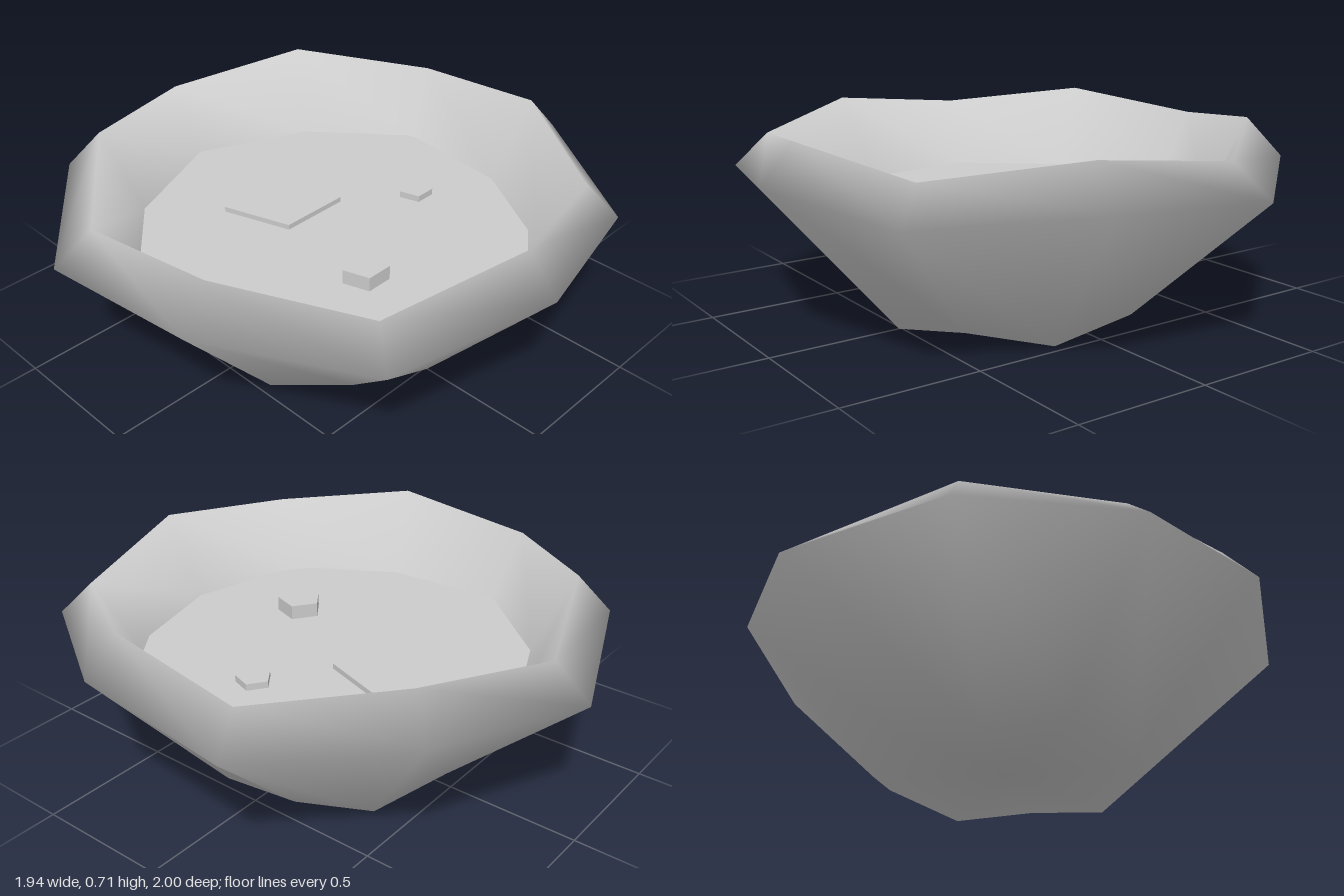
import * as THREE from 'three';

const material = () => new THREE.MeshStandardMaterial({ color: 0xcccccc, side: THREE.DoubleSide });
const FLOOR_Y = 0.4;

// Half rings as [x, z] from front (+z) to back; heights alternate between two values
const RINGS = [
  { y: [0, 0.05], half: [[0, 0.51], [0.29, 0.42], [0.46, 0.17], [0.47, -0.16], [0.29, -0.37], [0, -0.48]] },      // base
  { y: [0.57, 0.53], half: [[0, 1], [0.6, 0.84], [0.93, 0.32], [0.97, -0.3], [0.58, -0.77], [0, -1]] },           // widest edge
  { y: [0.71, 0.65], half: [[0, 0.88], [0.53, 0.74], [0.81, 0.29], [0.84, -0.25], [0.5, -0.67], [0, -0.86]] },    // crest
  { y: [0.4, 0.4], half: [[0, 0.73], [0.44, 0.62], [0.67, 0.24], [0.71, -0.21], [0.42, -0.55], [0, -0.73]] },     // inner wall at the floor
  { y: [0.24, 0.24], half: [[0, 0.56], [0.33, 0.46], [0.52, 0.18], [0.54, -0.17], [0.32, -0.43], [0, -0.56]] },   // inner wall below the floor
];

// Mirror a half ring into a closed ring of ten points
function fullRing({ y, half }) {
  const pts = half.map(([x, z], i) => [x, y[i % 2], z]);
  const mirrored = pts.slice(1, -1).reverse().map(([x, h, z]) => [-x, h, z]);
  return [...pts, ...mirrored];
}

// Thick smooth shell: outside, rolled rim and inside in one surface
function bowlGeometry() {
  const n = 10;
  const positions = RINGS.flatMap(fullRing).flat();
  const center = positions.length / 3;
  positions.push(0, 0.025, 0);
  const index = [];
  for (let r = 0; r < RINGS.length - 1; r++) {
    for (let k = 0; k < n; k++) {
      const a = r * n + k, b = r * n + (k + 1) % n;
      index.push(a, b, a + n, b, b + n, a + n);
    }
  }
  // Underside
  for (let k = 0; k < n; k++) index.push(center, (k + 1) % n, k);
  const geo = new THREE.BufferGeometry();
  geo.setAttribute('position', new THREE.Float32BufferAttribute(positions, 3));
  geo.setIndex(index);
  geo.computeVertexNormals();
  return geo;
}

export function createModel() {
  const group = new THREE.Group();

  const add = (name, geometry) => {
    const mesh = new THREE.Mesh(geometry, material());
    mesh.name = name;
    group.add(mesh);
    return mesh;
  };

  add('bowl', bowlGeometry());

  // Flat surface filling the bowl, its rim buried in the wall
  const floor = add('fillSurface', new THREE.CircleGeometry(0.77, 10));
  floor.rotation.x = -Math.PI / 2;
  floor.position.y = FLOOR_Y;

  // Five-sided floating pieces: x, z, radius, height above the surface
  const pieces = [
    ['largePiece', 0, -0.25, 0.23, 0.02],
    ['smallPiece', 0.38, 0.095, 0.066, 0.025],
    ['mediumPiece', -0.15, 0.33, 0.086, 0.055],
  ];
  for (const [name, x, z, radius, height] of pieces) {
    const depth = 0.02;
    const piece = add(name, new THREE.CylinderGeometry(radius, radius, height + depth, 5));
    piece.material.flatShading = true;
    piece.rotation.y = Math.PI;
    piece.position.set(x, FLOOR_Y + (height - depth) / 2, z);
  }

  return group;
}
